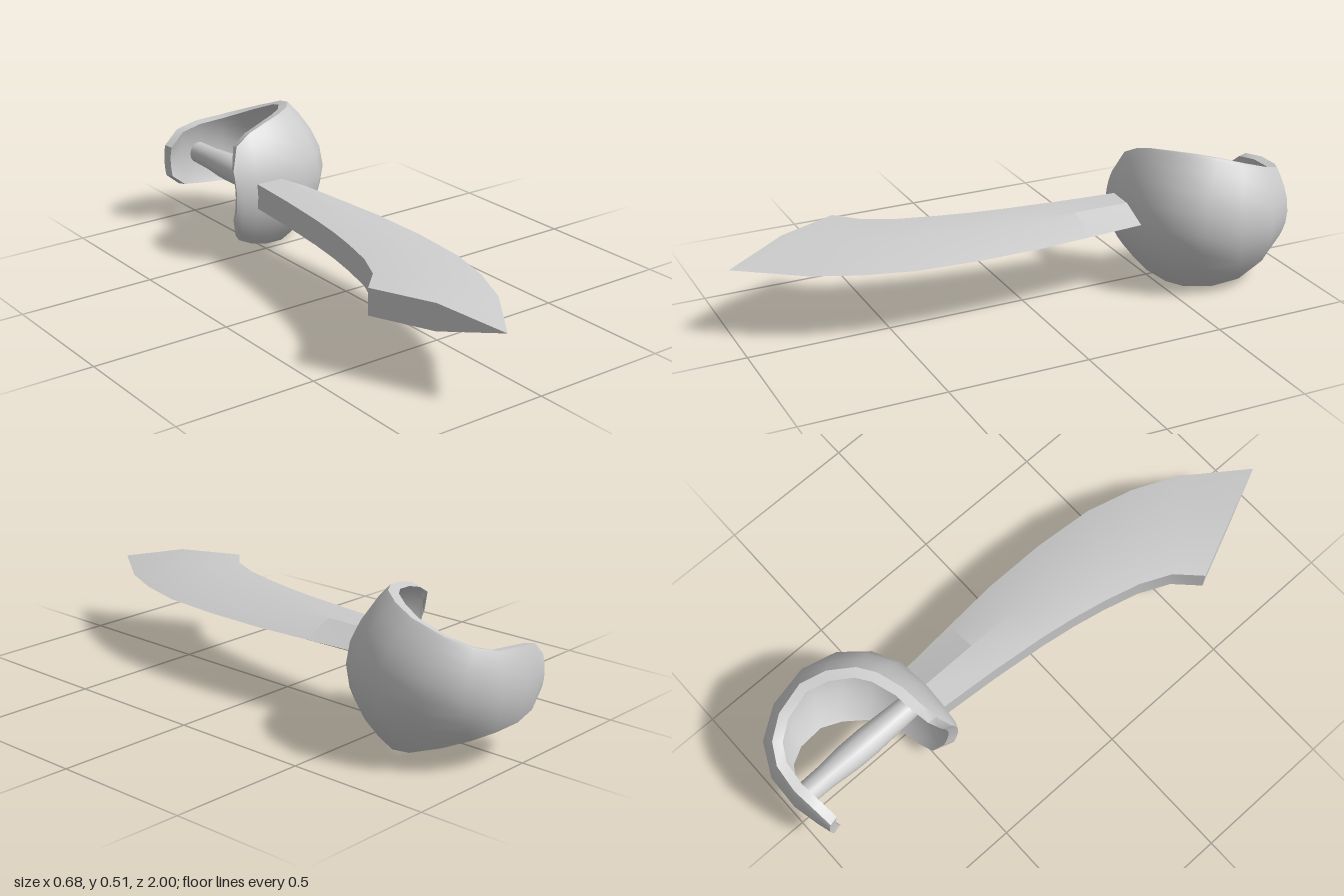
import * as THREE from 'three';
import { toCreasedNormals } from 'three/addons/utils/BufferGeometryUtils.js';

const MID_Y = 0.254;

// Skin a series of closed cross-sections and zip both ends shut.
function loft(rings, crease) {
  const n = rings[0].length, last = (rings.length - 1) * n, index = [];
  for (let r = 0; r < rings.length - 1; r++) {
    for (let i = 0; i < n; i++) {
      const a = r * n + i, b = r * n + (i + 1) % n;
      index.push(a, a + n, b, b, a + n, b + n);
    }
  }
  for (let i = 0; i < n - 2 - i; i++) {
    const j = n - 1 - i;
    const tris = [[i, i + 1, j]];
    if (i + 1 < j - 1) tris.push([i + 1, j - 1, j]);
    for (const [a, b, c] of tris) index.push(a, b, c, last + a, last + c, last + b);
  }
  const geo = new THREE.BufferGeometry();
  geo.setAttribute('position', new THREE.Float32BufferAttribute(rings.flat(2), 3));
  geo.setIndex(index);
  return toCreasedNormals(geo, crease);
}

export function createModel() {
  const model = new THREE.Group();
  const material = new THREE.MeshStandardMaterial({ color: 0xcccccc });
  const add = (name, geometry) => {
    const mesh = new THREE.Mesh(geometry, material);
    mesh.name = name;
    model.add(mesh);
    return mesh;
  };

  // Curved blade: thick flat spine, ridge halfway, bevel down to the edge.
  // Each row: spine x, spine z, edge x, edge z.
  const bladeRows = [
    [-0.09, -0.43, 0.11, -0.43], [-0.108, -0.2, 0.128, -0.2],
    [-0.13, 0, 0.143, 0], [-0.15, 0.13, 0.143, 0.23],
    [-0.175, 0.25, 0.125, 0.45], [-0.21, 0.38, 0.08, 0.62],
    [-0.26, 0.49, 0.01, 0.78], [-0.34, 0.57, -0.15, 1],
  ];
  const t = 0.047;
  add('blade', loft(bladeRows.map(([sx, sz, ex, ez]) => {
    const mx = (sx + ex) / 2, mz = (sz + ez) / 2;
    return [
      [sx, MID_Y + t, sz], [mx, MID_Y + t, mz], [ex, MID_Y, ez],
      [mx, MID_Y - t, mz], [sx, MID_Y - t, sz],
    ];
  }), 0.38));

  // Bowl-shaped hand guard, swept from the blade round to the pommel.
  // Each row: middle x, middle z, rim x, rim z, half height.
  const guardRows = [
    [-0.172, -0.422, -0.17, -0.445, 0.1], [-0.15, -0.412, -0.135, -0.475, 0.18],
    [-0.09, -0.405, -0.07, -0.49, 0.214], [0, -0.4, 0, -0.5, 0.235],
    [0.12, -0.41, 0.09, -0.53, 0.25], [0.22, -0.46, 0.15, -0.57, 0.253],
    [0.3, -0.55, 0.21, -0.65, 0.243], [0.335, -0.68, 0.24, -0.74, 0.22],
    [0.305, -0.83, 0.22, -0.85, 0.18], [0.23, -0.94, 0.17, -0.925, 0.15],
    [0.12, -0.995, 0.1, -0.965, 0.132], [0, -1, 0, -0.975, 0.125],
    [-0.09, -0.98, -0.09, -0.965, 0.11], [-0.15, -0.965, -0.15, -0.955, 0.06],
  ];
  const wall = 0.034, steps = 10;
  add('handGuard', loft(guardRows.map(([mx, mz, rx, rz, h], k) => {
    const p = guardRows[Math.max(k - 1, 0)];
    const q = guardRows[Math.min(k + 1, guardRows.length - 1)];
    const dx = q[0] - p[0], dz = q[1] - p[1], len = Math.hypot(dx, dz);
    const outer = [], inner = [];
    for (let i = 0; i <= steps; i++) {
      const v = Math.sin((i / steps - 0.5) * Math.PI), w = v * v;
      const x = mx + (rx - mx) * w, z = mz + (rz - mz) * w;
      outer.push([x, MID_Y + h * v, z]);
      inner.unshift([x + dz / len * wall, MID_Y + h * v * 0.96, z - dx / len * wall]);
    }
    return [...outer, ...inner];
  }), 0.75));

  // Slightly swollen grip between the two ends of the guard.
  const gripProfile = [
    [0, 0], [0.04, 0], [0.043, 0.12], [0.051, 0.22],
    [0.052, 0.3], [0.046, 0.42], [0.04, 0.55], [0, 0.55],
  ].map(([r, y]) => new THREE.Vector2(r, y));
  const grip = add('grip', toCreasedNormals(new THREE.LatheGeometry(gripProfile, 16), 0.7));
  grip.rotation.x = Math.PI / 2;
  grip.position.set(0.002, MID_Y, -0.975);

  return model;
}
